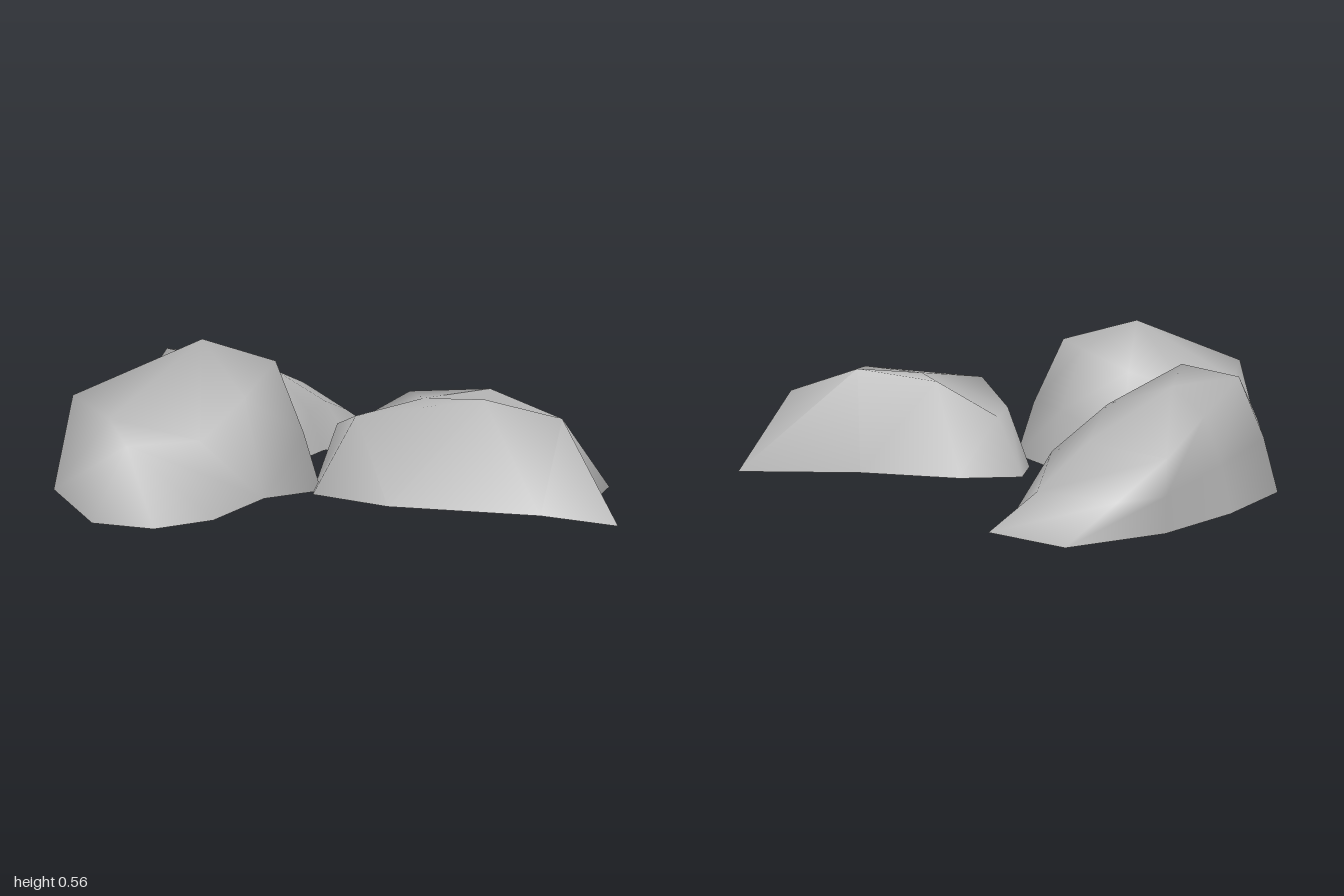
import * as THREE from 'three';
import { toCreasedNormals } from 'three/addons/utils/BufferGeometryUtils.js';

// Skins rings of points from the ground up and closes them with a fan to the peak.
// Repeated points in a ring merge faces into a corner. The underside stays open.
function rockGeometry(rings, peak) {
  const n = rings[0].length;
  const positions = [];
  const face = (a, b, c) => {
    const same = (p, q) => p.every((v, k) => v === q[k]);
    if (!same(a, b) && !same(b, c) && !same(c, a)) positions.push(...a, ...b, ...c);
  };
  for (let i = 0; i < n; i++) {
    const j = (i + 1) % n;
    for (let r = 0; r < rings.length - 1; r++) {
      const low = rings[r], high = rings[r + 1];
      face(low[i], low[j], high[j]);
      face(low[i], high[j], high[i]);
    }
    const top = rings[rings.length - 1];
    face(top[i], top[j], peak);
  }
  const geometry = new THREE.BufferGeometry();
  geometry.setAttribute('position', new THREE.Float32BufferAttribute(positions, 3));
  return toCreasedNormals(geometry, 1.8);
}

// Ground outline from x, z pairs
const ground = (pairs) => pairs.map(([x, z]) => [x, 0, z]);

export function createModel() {
  const group = new THREE.Group();
  group.name = 'rocks';
  const stone = new THREE.MeshStandardMaterial({ color: 0xb4b4b4, side: THREE.DoubleSide });
  stone.name = 'grey stone';

  const addRock = (name, rings, peak) => {
    const mesh = new THREE.Mesh(rockGeometry(rings, peak), stone);
    mesh.name = name;
    group.add(mesh);
  };

  // Tall rock: a low toe at the front corner meets the main block in a notch
  const toe = [-0.84, 0.27, 0.32], toeRoot = [-0.84, 0.315, 0.06];
  const notch = [-0.545, 0.24, 0.21], brow = [-0.37, 0.385, 0.21], leftShoulder = [-0.92, 0.365, -0.19];
  addRock('tallRock', [
    ground([[-1, -0.22], [-1, -0.22], [-0.96, 0.29], [-0.78, 0.44], [-0.56, 0.41], [-0.3, 0.2], [-0.3, 0.2], [-0.3, 0.2],
      [-0.06, 0.17], [-0.06, -0.05], [-0.21, -0.36], [-0.5, -0.58], [-0.73, -0.57]]),
    [leftShoulder, toeRoot, toe, toe, toe, toe, notch, brow,
      [-0.115, 0.22, 0.13], [-0.12, 0.22, -0.06], [-0.2, 0.13, -0.355], [-0.5, 0.17, -0.51], [-0.75, 0.16, -0.49]],
    [leftShoulder, toeRoot, toeRoot, toeRoot, toeRoot, toeRoot, notch, brow,
      [-0.19, 0.485, 0.03], [-0.21, 0.455, -0.07], [-0.3, 0.385, -0.25], [-0.48, 0.32, -0.38], [-0.74, 0.33, -0.36]],
  ], [-0.43, 0.56, -0.13]);

  // Long rock at the back, sloping down to its left, with a sharp rear edge
  const saddle = [0.02, 0.345, -0.56], rearCorner = [0.1, 0.25, -1];
  const frontCrest = [-0.36, 0.445, -0.5], rearCrest = [-0.4, 0.435, -0.77];
  const slope = [saddle, saddle, saddle, [0.2, 0.26, -0.7], rearCorner, rearCorner, [-0.15, 0.343, -0.885], rearCrest];
  addRock('backRock', [
    ground([[-0.67, -0.55], [-0.36, -0.38], [0.05, -0.33], [0.2, -0.46], [0.36, -0.5],
      [0.58, -0.68], [0.46, -0.95], [0.1, -1], [-0.23, -0.94], [-0.56, -0.82]]),
    [[-0.58, 0.2, -0.6], [-0.37, 0.27, -0.4], [0.02, 0.165, -0.38], [0.14, 0.17, -0.47], [0.24, 0.2, -0.54],
      [0.41, 0.12, -0.71], [0.28, 0.125, -0.975], [0.1, 0.125, -1], [-0.2, 0.17, -0.92], [-0.52, 0.2, -0.78]],
    [[-0.56, 0.25, -0.7], frontCrest, ...slope],
    [frontCrest, frontCrest, ...slope],
  ], [-0.18, 0.405, -0.67]);

  // Front rock with two pointed toes at its outer end
  const innerCorner = [0.02, 0.31, 0.31], outerCorner = [0.75, 0.29, 0.55];
  addRock('frontRock', [
    ground([[-0.11, 0.21], [0.08, 0.47], [0.53, 0.78], [0.71, 0.99], [0.77, 0.72],
      [0.99, 0.52], [0.6, 0.25], [0.32, -0.03], [0.11, -0.14], [0, -0.02]]),
    [innerCorner, innerCorner, [0.46, 0.37, 0.48], outerCorner, outerCorner,
      outerCorner, [0.55, 0.385, 0.36], [0.33, 0.35, 0.12], [0.13, 0.21, 0], [0.05, 0.23, 0.06]],
  ], [0.3, 0.355, 0.3]);

  return group;
}
